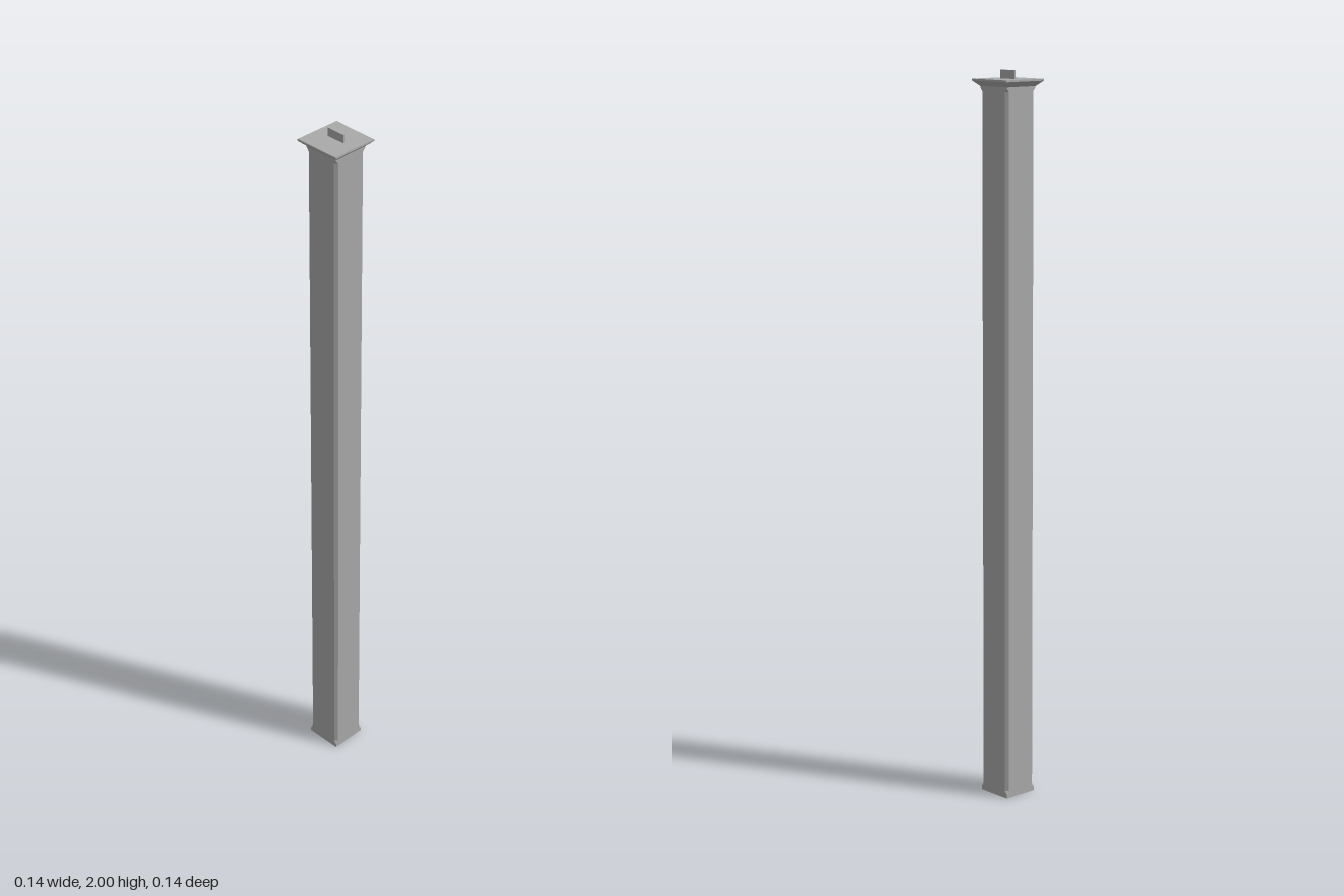
import * as THREE from 'three';

// Skin through square sections [y, half width, corner chamfer], eight points each
function squareLoft(sections) {
  const rings = sections.map(([y, h, c]) => {
    const ring = [];
    let pair = [[h - c, h], [h, h - c]];
    for (let k = 0; k < 4; k++) {
      for (const [x, z] of pair) ring.push([x, y, z]);
      pair = pair.map(([x, z]) => [z, -x]);
    }
    return ring;
  });
  const pos = [];
  for (let i = 0; i < rings.length - 1; i++) {
    for (let j = 0; j < 8; j++) {
      const n = (j + 1) % 8;
      const a = rings[i][j], b = rings[i][n], c = rings[i + 1][n], d = rings[i + 1][j];
      pos.push(...a, ...b, ...c, ...a, ...c, ...d);
    }
  }
  const geo = new THREE.BufferGeometry();
  geo.setAttribute('position', new THREE.Float32BufferAttribute(pos, 3));
  geo.computeVertexNormals();
  return geo;
}

export function createModel() {
  const group = new THREE.Group();
  group.name = 'post';
  const grey = new THREE.MeshStandardMaterial({ color: 0xaaaaaa, side: THREE.DoubleSide });
  grey.name = 'grey';
  const add = (name, geo, y = 0) => {
    const mesh = new THREE.Mesh(geo, grey);
    mesh.name = name;
    mesh.position.y = y;
    group.add(mesh);
    return mesh;
  };

  const half = 0.052, chamfer = 0.008, rim = 0.0675, capTop = 1.977;

  // Hollow shaft, open below, with chamfers that stop short of both ends
  add('shaft', squareLoft([
    [0, half, 0],
    [0.01, half, 0],
    [0.02, half, chamfer],
    [1.945, half, chamfer],
    [1.955, half, 0],
    [1.958, half, 0],
  ]));

  // Flared cap with a thin rim
  add('capFlare', squareLoft([
    [1.958, half, 0],
    [1.972, rim, 0],
    [capTop, rim, 0],
  ]));
  const top = new THREE.PlaneGeometry(rim * 2, rim * 2).rotateX(-Math.PI / 2);
  add('capTop', top, capTop);

  // Thin upright tab on the cap
  add('tab', new THREE.BoxGeometry(0.006, 2 - capTop, 0.056), (2 + capTop) / 2);

  return group;
}
